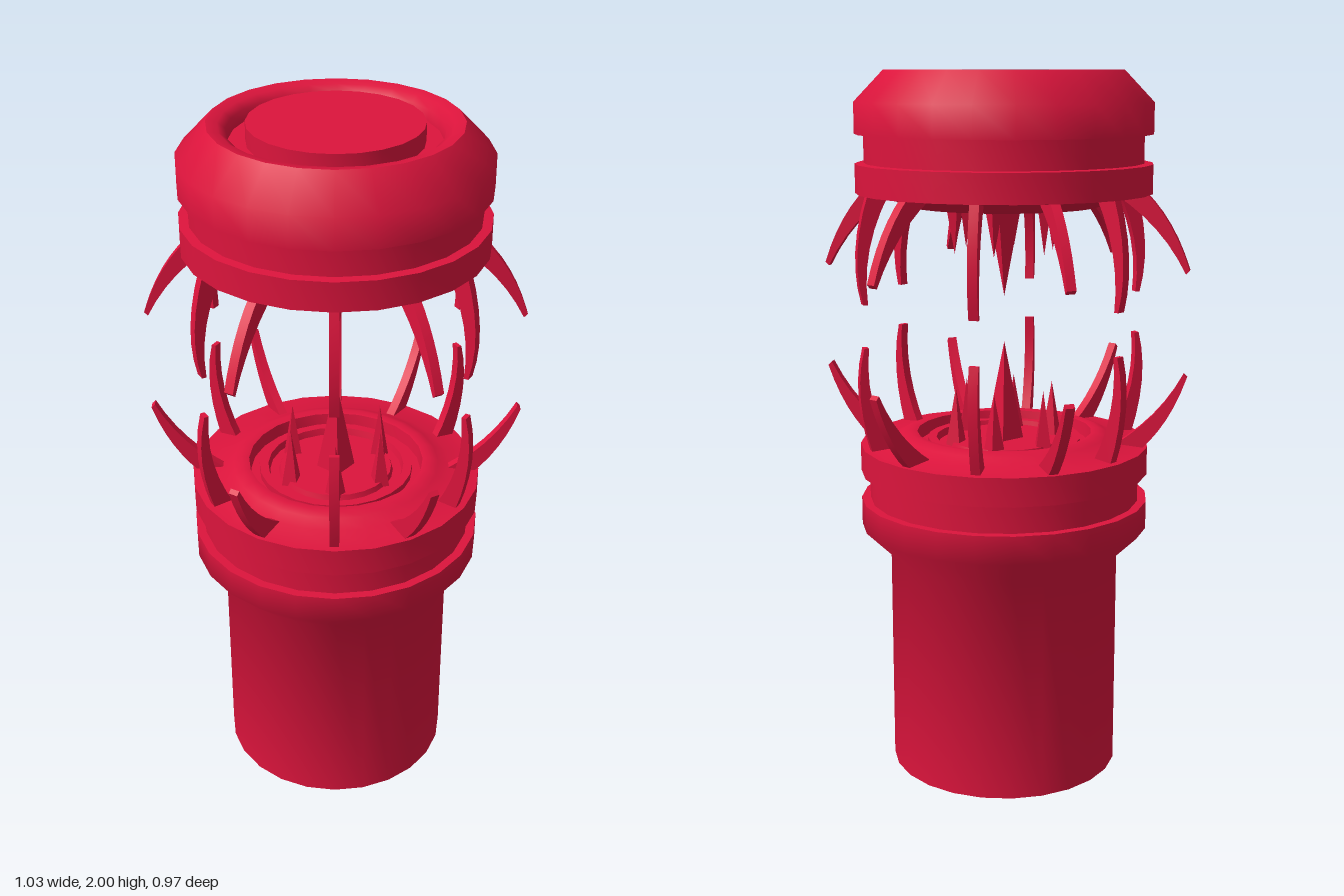
import * as THREE from 'three';
import { toCreasedNormals } from 'three/addons/utils/BufferGeometryUtils.js';

const material = new THREE.MeshStandardMaterial({ color: 0xdc143c, side: THREE.DoubleSide });
const SIDES = 24;
const STEP = Math.PI / 12;

function addMesh(parent, name, geometry) {
  const mesh = new THREE.Mesh(geometry, material);
  mesh.name = name;
  parent.add(mesh);
  return mesh;
}

// Turned solid with flat facets offset so a side faces each axis
function turned(points) {
  const profile = points.map(([r, y]) => new THREE.Vector2(r, y));
  return toCreasedNormals(new THREE.LatheGeometry(profile, SIDES, STEP / 2), 0.95);
}

// Flat curved blade: outer edge up to the blunt tip, inner edge back down
function blade(outer, outerCtrl, tipOut, tipIn, innerCtrl, inner) {
  const shape = new THREE.Shape();
  shape.moveTo(...outer);
  shape.quadraticCurveTo(...outerCtrl, ...tipOut);
  shape.lineTo(...tipIn);
  shape.quadraticCurveTo(...innerCtrl, ...inner);
  const width = 0.026;
  const geometry = new THREE.ExtrudeGeometry(shape, { depth: width, bevelEnabled: false, curveSegments: 6 });
  geometry.translate(0, 0, -width / 2);
  return toCreasedNormals(geometry, 0.6);
}

// Groove, rim and stepped socket shared by both halves
const jawProfile = [
  [0.387, 0.80], [0.387, 0.878], [0.412, 0.88], [0.412, 0.96],
  [0.33, 0.968], [0.295, 0.985], [0.27, 0.995], [0.25, 0.992], [0.245, 0.955], [0.22, 0.955],
  [0.22, 0.975], [0.195, 0.975], [0.19, 0.955], [0.165, 0.955], [0.16, 0.97], [0, 0.97],
];

const splayedBlade = blade([0.39, 0.95], [0.475, 1.03], [0.519, 1.165], [0.509, 1.175], [0.44, 1.04], [0.31, 0.96]);
const uprightBlade = blade([0.39, 0.95], [0.447, 1.12], [0.41, 1.255], [0.397, 1.255], [0.415, 1.10], [0.33, 0.95]);

function spike(radius, bottom, top) {
  const geometry = new THREE.ConeGeometry(radius, top - bottom, 4).toNonIndexed();
  geometry.translate(0, (top + bottom) / 2, 0);
  geometry.computeVertexNormals();
  return geometry;
}

function makeHalf(name, bodyName, bodyProfile) {
  const half = new THREE.Group();
  half.name = name;
  addMesh(half, bodyName, turned([...bodyProfile, ...jawProfile]));

  // Alternating splayed and upright claws around the rim
  for (let i = 0; i < 12; i++) {
    const claw = addMesh(half, i % 2 ? 'uprightClaw' : 'splayedClaw', i % 2 ? uprightBlade : splayedBlade);
    claw.rotation.y = -(i + 0.25) * Math.PI / 6;
  }

  // Socket spikes
  addMesh(half, 'centreSpike', spike(0.058, 0.95, 1.25));
  const small = spike(0.032, 0.95, 1.125);
  for (let i = 0; i < 6; i++) {
    const a = 2.5 * STEP + i * Math.PI / 3;
    const mesh = addMesh(half, 'smallSpike', small);
    mesh.position.set(0.145 * Math.cos(a), 0, 0.145 * Math.sin(a));
    mesh.rotation.y = -a;
  }
  return half;
}

export function createModel() {
  const model = new THREE.Group();
  model.name = 'clawedCylinder';

  // Lower half with the long handle, open underneath
  model.add(makeHalf('lowerHalf', 'handle', [
    [0.33, 0], [0.33, 0.64], [0.412, 0.72], [0.412, 0.80],
  ]));

  // Upper half, turned over, with a raised disc in a rounded ring
  const upper = makeHalf('upperHalf', 'cap', [
    [0, 0.63], [0.23, 0.63], [0.23, 0.68], [0.275, 0.68], [0.28, 0.65], [0.3, 0.635],
    [0.33, 0.63], [0.412, 0.715], [0.412, 0.80],
  ]);
  upper.rotation.set(Math.PI, -STEP, 0, 'YXZ');
  upper.position.y = 2.63;
  model.add(upper);

  return model;
}
